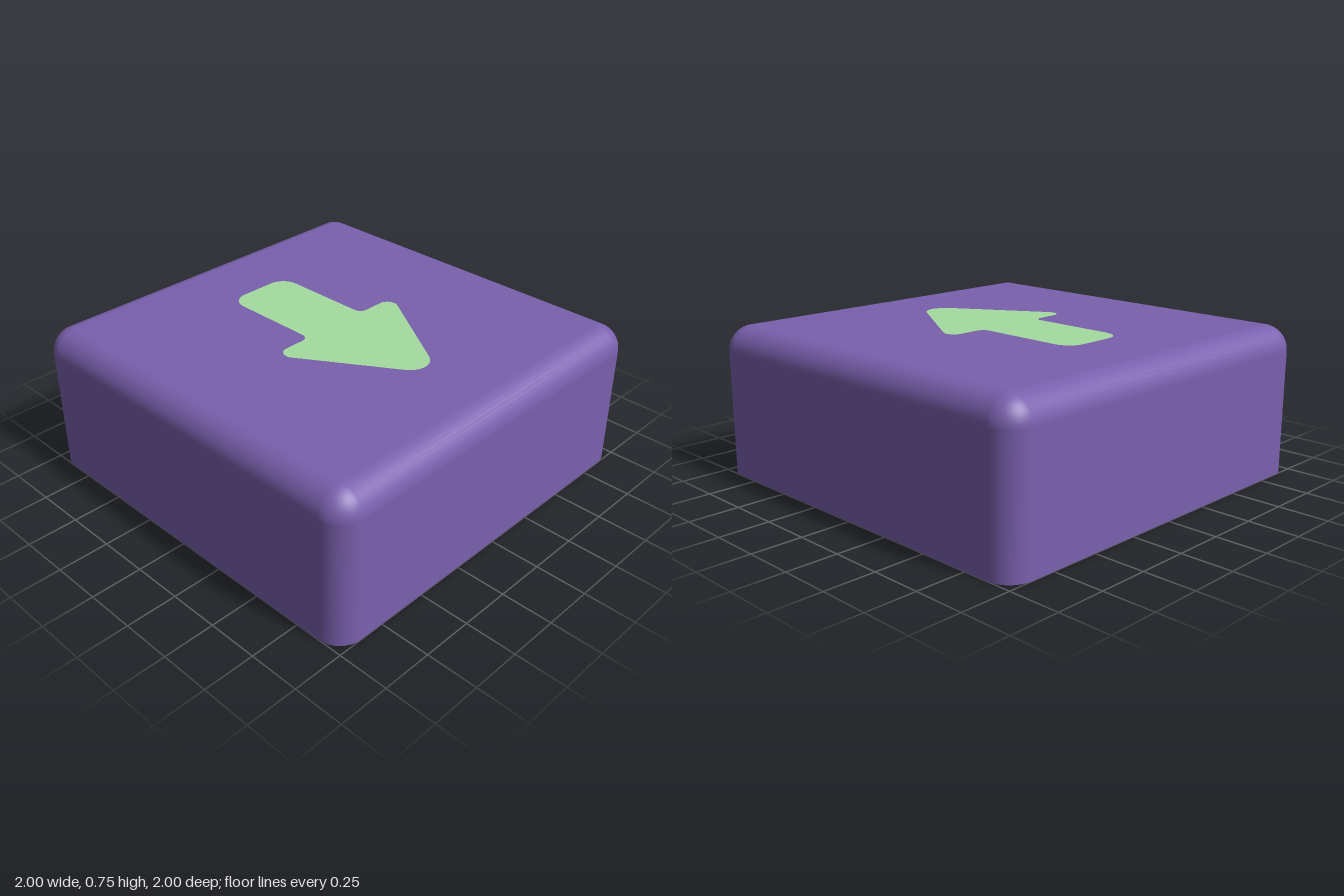
import * as THREE from 'three';
import { toCreasedNormals } from 'three/addons/utils/BufferGeometryUtils.js';

const HEIGHT = 0.745, ROUND = 0.125;          // cap height, outer edge radius
const INNER = 0.88, INNER_ROUND = 0.08;       // cavity half width, corner radius
const CEILING = 0.605, STEM_BOTTOM = 0.11, STEM_RADIUS = 0.31;

// Skin a stack of rounded squares; each level is [half width, corner radius, y]
function loft(levels, steps = 10) {
  const pos = [], index = [], n = 4 * (steps + 1);
  for (const [half, r, y] of levels) {
    for (let q = 0; q < 4; q++) {
      const mid = (q + 0.5) * Math.PI / 2;
      const cx = Math.sign(Math.cos(mid)) * (half - r), cz = -Math.sign(Math.sin(mid)) * (half - r);
      for (let s = 0; s <= steps; s++) {
        const a = (q + s / steps) * Math.PI / 2;
        pos.push(cx + r * Math.cos(a), y, cz - r * Math.sin(a));
      }
    }
  }
  for (let i = 0; i < levels.length - 1; i++) {
    for (let j = 0; j < n; j++) {
      const k = (j + 1) % n, a = i * n + j, b = i * n + k, c = b + n, d = a + n;
      index.push(a, b, c, a, c, d);
    }
  }
  const geo = new THREE.BufferGeometry();
  geo.setAttribute('position', new THREE.Float32BufferAttribute(pos, 3));
  geo.setIndex(index);
  geo.computeVertexNormals();
  return geo;
}

// Outline with each corner [x, y, radius] replaced by a tangent arc
function roundedShape(corners) {
  const pts = [], n = corners.length;
  const vec = (i) => new THREE.Vector2(...corners[(i + n) % n].slice(0, 2));
  for (let i = 0; i < n; i++) {
    const p = vec(i), r = corners[i][2];
    const u = vec(i - 1).sub(p).normalize(), v = vec(i + 1).sub(p).normalize();
    const half = Math.acos(u.dot(v)) / 2, d = r / Math.tan(half);
    const c = p.clone().add(u.clone().add(v).normalize().multiplyScalar(r / Math.sin(half)));
    const from = p.clone().addScaledVector(u, d).sub(c).angle();
    let sweep = p.clone().addScaledVector(v, d).sub(c).angle() - from;
    sweep = Math.atan2(Math.sin(sweep), Math.cos(sweep));
    for (let s = 0; s <= 10; s++) {
      const a = from + sweep * s / 10;
      pts.push(new THREE.Vector2(c.x + r * Math.cos(a), c.y + r * Math.sin(a)));
    }
  }
  return new THREE.Shape(pts);
}

export function createModel() {
  const group = new THREE.Group();
  const purple = new THREE.MeshStandardMaterial({ color: 0x7a60ae });
  purple.name = 'purple plastic';
  const green = new THREE.MeshStandardMaterial({ color: 0xa5dba1 });
  green.name = 'green print';
  const add = (name, geo, mat = purple) => {
    const mesh = new THREE.Mesh(geo, mat);
    mesh.name = name;
    group.add(mesh);
  };

  // Outer shell: straight walls, rounded top edge, flat top
  const shell = [[1, ROUND, 0]];
  for (let i = 0; i <= 10; i++) {
    const a = i / 10 * Math.PI / 2, r = Math.max(ROUND * Math.cos(a), 0.0005);
    shell.push([1 - ROUND + r, r, HEIGHT - ROUND + ROUND * Math.sin(a)]);
  }
  shell.push([0, 0, HEIGHT]);
  add('outerShell', loft(shell));

  // Hollow underside
  add('bottomRim', loft([[INNER, INNER_ROUND, 0], [1, ROUND, 0]]));
  add('innerWalls', loft([[INNER, INNER_ROUND, CEILING], [INNER, INNER_ROUND, 0]]));
  add('ceiling', loft([[0, 0, CEILING], [INNER, INNER_ROUND, CEILING]]));

  // Round stem with a cross-shaped socket
  const L = 0.23, w = 0.07;
  const disc = new THREE.Shape().absarc(0, 0, STEM_RADIUS, 0, Math.PI * 2);
  const cross = [[L, -w], [L, w], [w, w], [w, L], [-w, L], [-w, w],
    [-L, w], [-L, -w], [-w, -w], [-w, -L], [w, -L], [w, -w]];
  disc.holes.push(new THREE.Path(cross.map(([x, y]) => new THREE.Vector2(x, y))));
  const stem = new THREE.ExtrudeGeometry(disc,
    { depth: CEILING - STEM_BOTTOM, bevelEnabled: false, curveSegments: 32 });
  stem.rotateX(-Math.PI / 2).translate(0, STEM_BOTTOM, 0);
  add('stem', toCreasedNormals(stem, 0.5));

  // Flare where the stem meets the ceiling
  const flare = [], f = 0.06;
  for (let i = 0; i <= 6; i++) {
    const a = i / 6 * Math.PI / 2;
    flare.push(new THREE.Vector2(STEM_RADIUS + f * (1 - Math.cos(a)), CEILING - f + f * Math.sin(a)));
  }
  add('stemFlare', new THREE.LatheGeometry(flare, 64));

  // Arrow printed on the top, pointing to the front
  const right = [[0.178, 0.56, 0.09], [0.178, 0.01, 0.04], [0.41, 0.01, 0.05]];
  const left = right.map(([x, y, r]) => [-x, y, r]).reverse();
  const arrow = new THREE.ShapeGeometry(roundedShape([...right, [0, -0.64, 0.097], ...left]));
  arrow.rotateX(-Math.PI / 2).translate(0, HEIGHT + 0.002, 0);
  add('arrow', arrow, green);

  return group;
}
